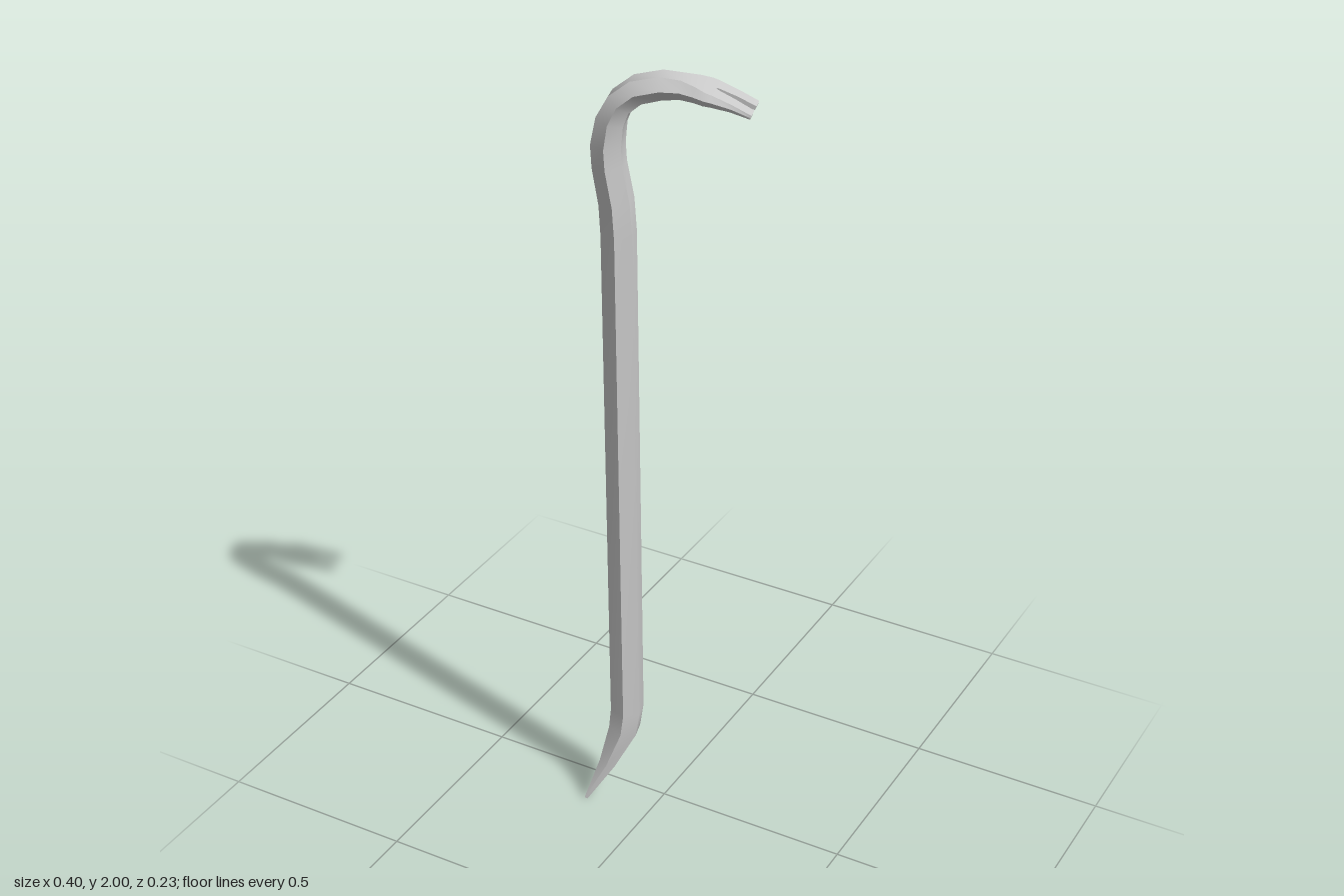
import * as THREE from 'three';
import { toCreasedNormals } from 'three/addons/utils/BufferGeometryUtils.js';

const YAW = 0.28; // the hook plane is turned about the vertical axis

// Stations along the bar: u and y of the centre, half thickness t,
// half width a of the flat faces, half width b at the side corners,
// half width h of the nail slot
const S = (u, y, t, a = 0.0225, b = 0.044, h = 0) => ({ u, y, t, a, b, h });
const chiselPath = [
  S(-0.194, 0.002, 0.004, 0.055, 0.055),
  S(-0.141, 0.11, 0.021, 0.037, 0.049),
  S(-0.103, 0.21, 0.036, 0.024, 0.045),
  S(-0.096, 0.27, 0.0375),
];
const shaftPath = [
  S(-0.111, 1.6, 0.0375),
  S(-0.116, 1.68, 0.037),
  S(-0.132, 1.77, 0.036),
  S(-0.135, 1.82, 0.036),
  S(-0.126, 1.88, 0.033),
  S(-0.105, 1.924, 0.03),
  S(-0.066, 1.956, 0.029),
  S(-0.008, 1.972, 0.0275),
  S(0.037, 1.973, 0.023, 0.024, 0.042),
  S(0.07, 1.97, 0.019, 0.036, 0.05),
  S(0.095, 1.965, 0.016, 0.045, 0.055),
];
const clawPath = [
  S(0.109, 1.962, 0.0145, 0.0445, 0.0535, 0),
  S(0.113, 1.961, 0.014, 0.0445, 0.053, 0.004),
  S(0.155, 1.949, 0.009, 0.0435, 0.048, 0.0085),
  S(0.2, 1.932, 0.005, 0.043, 0.044, 0.012),
];
const path = [...chiselPath, ...shaftPath, ...clawPath];

// Sections as [normal, sideways] pairs
const hexagon = ({ t, a, b }) => [[t, -a], [t, a], [0, b], [-t, a], [-t, -a], [0, -b]];
const prong = (side) => ({ t, a, b, h }) => {
  const half = [[t, h], [t, a], [0, b], [-t, a], [-t, h]];
  return side > 0 ? half : half.map(([n, v]) => [n, -v]).reverse();
};

// Places the section of one station square to the path
function ring(i, section) {
  const s = path[i];
  const p = path[Math.max(i - 1, 0)], q = path[Math.min(i + 1, path.length - 1)];
  const d1 = new THREE.Vector2(s.u - p.u, s.y - p.y).normalize();
  const d2 = new THREE.Vector2(q.u - s.u, q.y - s.y).normalize();
  const dir = d1.add(d2).normalize();
  const lean = 0.01 - 0.0152 * s.y; // slight sideways lean of the bar
  return section(s).map(([n, v]) =>
    new THREE.Vector3(s.u - dir.y * n, s.y + dir.x * n, v + lean));
}

// Skins the stations from one index to another
function loft(name, from, to, section, capStart, capEnd, material) {
  const rings = [];
  for (let i = from; i <= to; i++) rings.push(ring(i, section));
  const pts = [];
  const n = rings[0].length;
  for (let i = 0; i + 1 < rings.length; i++) {
    for (let j = 0; j < n; j++) {
      const k = (j + 1) % n;
      const [A, B] = [rings[i], rings[i + 1]];
      pts.push(A[j], A[k], B[k], A[j], B[k], B[j]);
    }
  }
  const first = rings[0], last = rings[rings.length - 1];
  for (let j = 1; j < n - 1; j++) {
    if (capStart) pts.push(first[0], first[j + 1], first[j]);
    if (capEnd) pts.push(last[0], last[j], last[j + 1]);
  }
  const geometry = new THREE.BufferGeometry().setFromPoints(pts);
  const mesh = new THREE.Mesh(toCreasedNormals(geometry, 0.6), material);
  mesh.name = name;
  return mesh;
}

export function createModel() {
  const material = new THREE.MeshStandardMaterial({ color: 0xcccccc });
  const split = path.length - clawPath.length;
  const bar = new THREE.Group();
  bar.name = 'pryBar';
  bar.rotation.y = YAW;
  // Chisel end, shaft and hook in one skin, then the two claw prongs
  bar.add(
    loft('chiselShaftAndHook', 0, split, hexagon, true, false, material),
    loft('frontClawProng', split, path.length - 1, prong(1), false, true, material),
    loft('backClawProng', split, path.length - 1, prong(-1), false, true, material),
  );
  const model = new THREE.Group();
  model.name = 'crowbar';
  model.add(bar);
  return model;
}
